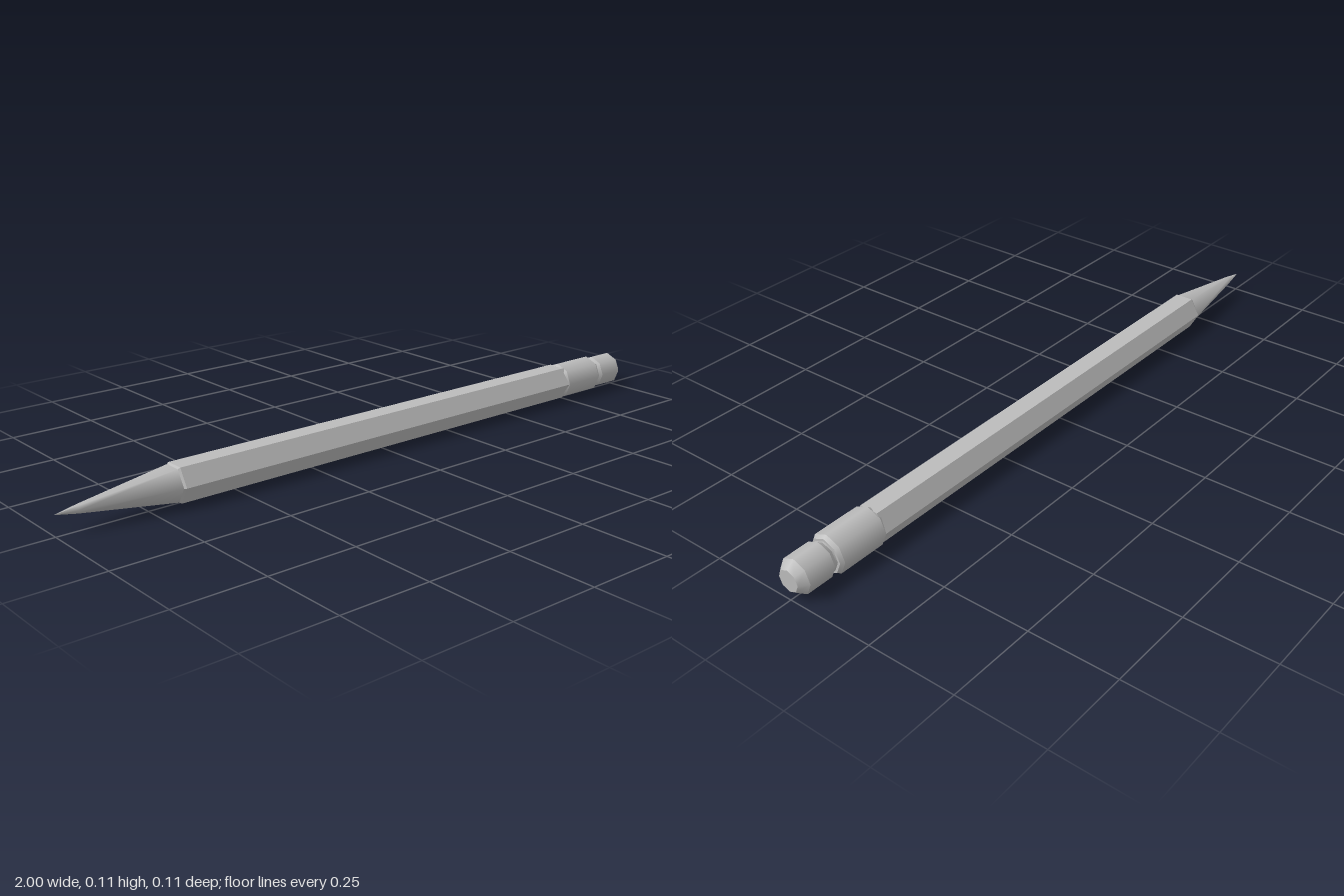
import * as THREE from 'three';
import { mergeGeometries } from 'three/addons/utils/BufferGeometryUtils.js';

const AXIS_HEIGHT = 0.056;

// Revolves [x, radius] points about the long axis, smooth along the profile.
function revolve(profile, sides) {
  const points = profile.map(([x, r]) => new THREE.Vector2(r, x));
  return new THREE.LatheGeometry(points, sides).rotateZ(-Math.PI / 2);
}

// As revolve, but with a sharp edge at every profile point.
function revolveStepped(profile, sides) {
  const bands = profile.slice(1).map((p, i) => revolve([profile[i], p], sides));
  return mergeGeometries(bands);
}

export function createModel() {
  const group = new THREE.Group();
  group.name = 'pencil';

  const grey = new THREE.MeshStandardMaterial({ color: 0xbcbcbc });
  grey.name = 'grey';

  function addPart(name, geometry) {
    const mesh = new THREE.Mesh(geometry, grey);
    mesh.name = name;
    mesh.position.y = AXIS_HEIGHT;
    group.add(mesh);
  }

  // Sharpened six-sided tip
  addPart('tip', revolve([[-1, 0], [-0.94, 0.0115], [-0.674, 0.051]], 6));

  // Flat-sided hexagonal shaft with a narrow bevel behind the tip
  const shaft = revolveStepped(
    [[-0.676, 0], [-0.676, 0.051], [-0.67, 0.055], [0.735, 0.055], [0.735, 0]], 6
  ).toNonIndexed();
  shaft.computeVertexNormals();
  addPart('shaft', shaft);

  // Eight-sided collar with bevelled rims
  addPart('ferrule', revolveStepped(
    [[0.728, 0], [0.728, 0.049], [0.737, 0.056], [0.874, 0.056], [0.884, 0.049], [0.884, 0]], 8
  ));

  // Narrow neck and eraser with a bevelled end
  addPart('neck', revolveStepped([[0.88, 0.042], [0.892, 0.042]], 8));
  addPart('eraser', revolveStepped(
    [[0.888, 0], [0.888, 0.042], [0.9, 0.05], [0.978, 0.05], [1, 0.031], [1, 0]], 8
  ));

  return group;
}
